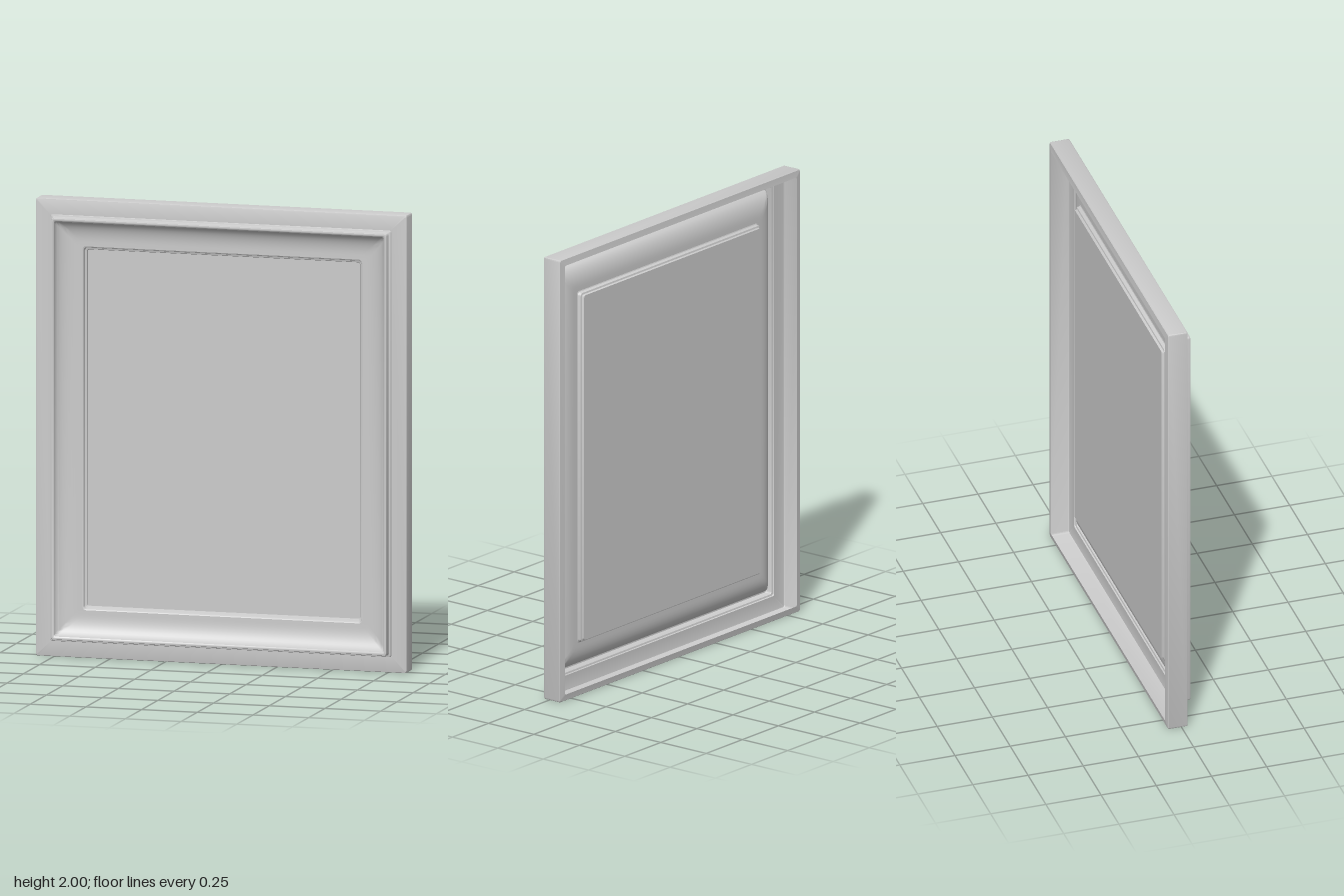
import * as THREE from 'three';
import { toCreasedNormals } from 'three/addons/utils/BufferGeometryUtils.js';

const HALF_W = 0.833, HALF_H = 1;

// Rectangle inset from the outer edge, with small rounded corners, counter-clockwise
function ring(inset, r) {
  const pts = [];
  const signs = [[1, 1], [-1, 1], [-1, -1], [1, -1]];
  signs.forEach(([sx, sy], c) => {
    for (let j = 0; j <= 3; j++) {
      const a = (c + j / 3) * Math.PI / 2;
      pts.push(new THREE.Vector2(
        sx * (HALF_W - inset - r) + r * Math.cos(a),
        1 + sy * (HALF_H - inset - r) + r * Math.sin(a)));
    }
  });
  return pts;
}

// Sweeps a profile of [inset, z, corner radius] around the rectangle
function sweep(profile) {
  const pos = [], index = [];
  const n = 16;
  profile.forEach(([inset, z, r = 0.008], i) => {
    ring(inset, r).forEach((p, k) => {
      pos.push(p.x, p.y, z);
      if (i === profile.length - 1) return;
      const a = i * n + k, b = i * n + (k + 1) % n;
      index.push(a, b, b + n, a, b + n, a + n);
    });
  });
  const geo = new THREE.BufferGeometry();
  geo.setAttribute('position', new THREE.Float32BufferAttribute(pos, 3));
  geo.setIndex(index);
  return toCreasedNormals(geo, 0.6);
}

export function createModel() {
  const group = new THREE.Group();
  const material = new THREE.MeshStandardMaterial({ color: 0xcccccc, side: THREE.DoubleSide });
  const add = (name, geo) => {
    const mesh = new THREE.Mesh(geo, material);
    mesh.name = name;
    group.add(mesh);
  };

  // Outer frame: sloping back lip, side wall, bevelled front edge, flat border
  add('outerFrame', sweep([
    [0.03, -0.066], [0.003, -0.061], [0, -0.057], [0, 0.023],
    [0.002, 0.027], [0.007, 0.029], [0.068, 0.029],
  ]));

  // Raised moulding: small step, bead, then a hollow running in to the panel
  const cove = [];
  for (let i = 0; i <= 10; i++) {
    const a = i / 10 * Math.PI / 2;
    cove.push([0.185 - 0.092 * Math.cos(a), 0.062 - 0.054 * Math.sin(a), 0.008 + 0.012 * Math.sin(a)]);
  }
  add('moulding', sweep([
    [0.068, 0.029], [0.07, 0.035], [0.077, 0.037], [0.079, 0.041],
    [0.079, 0.06], [0.081, 0.065], [0.085, 0.066], [0.09, 0.065],
    ...cove, [0.205, 0.008, 0.015],
  ]));

  // Narrow step down to the panel
  add('panelRim', sweep([
    [0.205, 0.008, 0.015], [0.209, 0.006, 0.014], [0.211, 0.001, 0.013],
    [0.212, -0.008, 0.012], [0.219, -0.01, 0.01], [0.221, -0.014, 0.009], [0.221, -0.02, 0.008],
  ]));

  // Flat panel
  const panel = new THREE.ShapeGeometry(new THREE.Shape(ring(0.221, 0.008)));
  panel.translate(0, 0, -0.02);
  add('panel', panel);

  return group;
}
